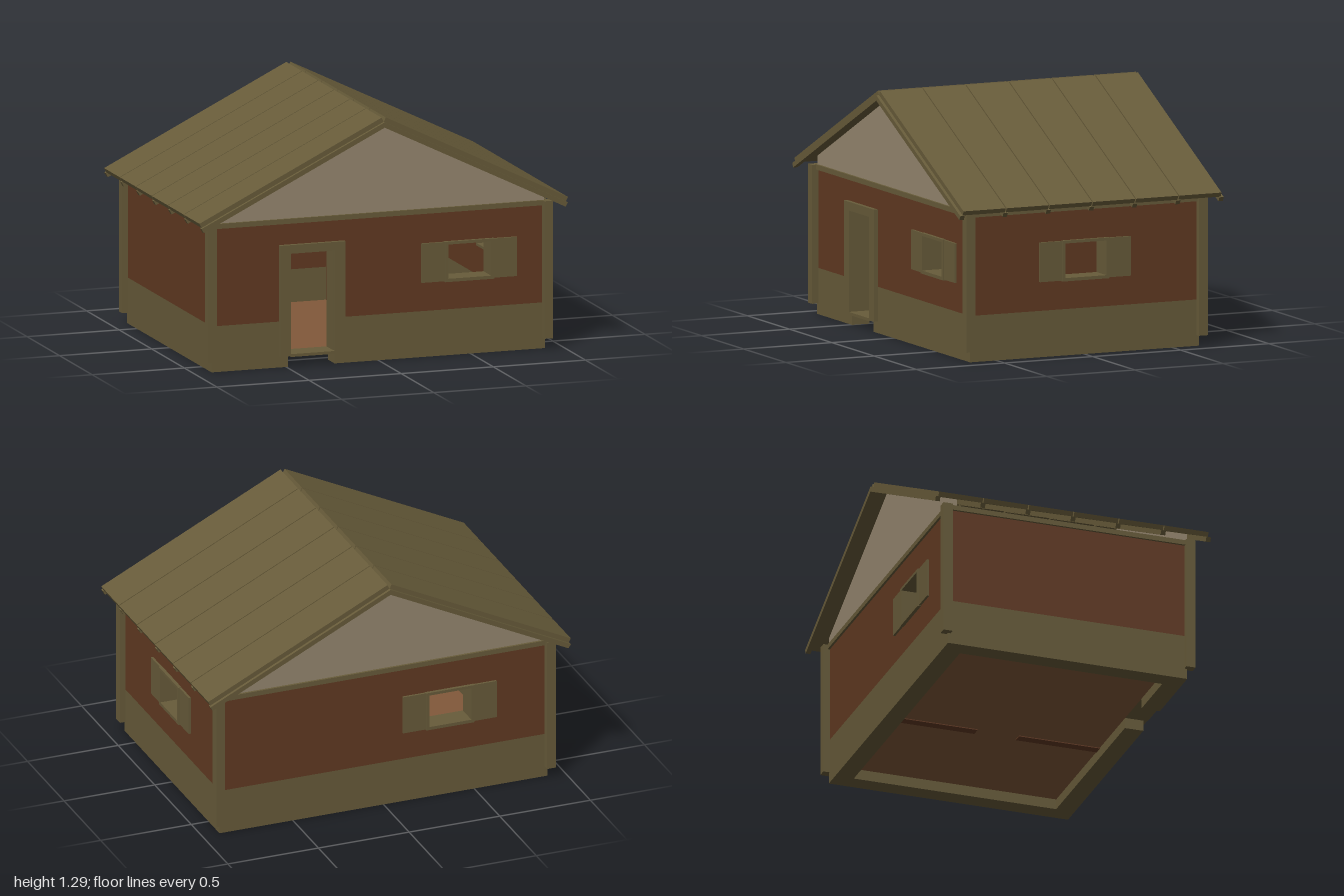
import * as THREE from 'three';

const mat = (name, color) => {
  const m = new THREE.MeshStandardMaterial({ color });
  m.name = name;
  return m;
};

export function createModel() {
  const timber = mat('olive timber', 0x685c3a);
  const red = mat('red brown wall', 0x623a22);
  const plaster = mat('taupe gable', 0x978870);
  const boards = mat('floor boards', 0x82593a);
  const house = new THREE.Group();
  house.name = 'house';

  const HX = 0.905, HZ = 0.65, T = 0.1, TOP = 0.77, BAND = 0.24;

  // Box given by its limits
  function box(parent, name, m, x0, x1, y0, y1, z0, z1) {
    const mesh = new THREE.Mesh(new THREE.BoxGeometry(x1 - x0, y1 - y0, z1 - z0), m);
    mesh.position.set((x0 + x1) / 2, (y0 + y1) / 2, (z0 + z1) / 2);
    mesh.name = name;
    parent.add(mesh);
  }

  // Profile in x and y, extruded along z
  function prism(parent, name, m, pts, z0, z1) {
    const shape = new THREE.Shape(pts.map(([x, y]) => new THREE.Vector2(x, y)));
    const geo = new THREE.ExtrudeGeometry(shape, { depth: z1 - z0, bevelEnabled: false });
    const mesh = new THREE.Mesh(geo, m);
    mesh.position.z = z0;
    mesh.name = name;
    parent.add(mesh);
  }

  // One horizontal colour band of a wall, left open where the openings are
  function band(parent, name, m, half, y0, y1, z0, z1, openings) {
    let x = -half;
    for (const o of [...openings].sort((a, b) => a.x0 - b.x0)) {
      box(parent, name, m, x, o.x0, y0, y1, z0, z1);
      const lo = Math.min(Math.max(o.y0, y0), y1), hi = Math.max(Math.min(o.y1, y1), y0);
      if (lo > y0) box(parent, name, m, o.x0, o.x1, y0, lo, z0, z1);
      if (hi < y1) box(parent, name, m, o.x0, o.x1, hi, y1, z0, z1);
      x = o.x1;
    }
    box(parent, name, m, x, half, y0, y1, z0, z1);
  }

  // Wall with its outer face on local z = 0
  function wall(name, half, trimHalf, openings, position, turn) {
    const g = new THREE.Group();
    g.name = name;
    band(g, 'wallBase', timber, half, 0, BAND, -T, 0, openings);
    band(g, 'wallUpper', red, half, BAND, TOP, -T, 0, openings);
    box(g, 'topTrim', timber, -trimHalf, trimHalf, 0.75, 0.776, 0, 0.012);
    g.position.set(...position);
    g.rotation.y = turn;
    house.add(g);
    return g;
  }

  // Window frame lining the opening, with a shutter on each side
  const windowHole = cx => ({ x0: cx - 0.125, x1: cx + 0.125, y0: 0.39, y1: 0.592 });
  function windowUnit(g, cx) {
    for (const s of [-1, 1]) {
      const a = cx + s * 0.116, b = cx + s * 0.133, c = cx + s * 0.258;
      box(g, 'windowJamb', timber, Math.min(a, b), Math.max(a, b), 0.386, 0.597, -T, 0.018);
      box(g, 'shutter', timber, Math.min(b, c), Math.max(b, c), 0.39, 0.595, 0, 0.012);
    }
    box(g, 'windowSill', timber, cx - 0.116, cx + 0.116, 0.386, 0.403, -T, 0.018);
    box(g, 'windowHead', timber, cx - 0.116, cx + 0.116, 0.582, 0.597, -T, 0.018);
  }

  // Four walls
  const doorHole = { x0: -0.49, x1: -0.238, y0: 0, y1: 0.6 };
  const front = wall('frontWall', HX, 0.89, [doorHole, windowHole(0.49)], [0, 0, HZ], 0);
  windowUnit(front, 0.49);
  const back = wall('backWall', HX, 0.89, [windowHole(0.362)], [0, 0, -HZ], Math.PI);
  windowUnit(back, 0.362);
  const right = wall('windowSideWall', HZ - T, 0.636, [windowHole(0)], [HX, 0, 0], Math.PI / 2);
  windowUnit(right, 0);
  wall('plainSideWall', HZ - T, 0.636, [], [-HX, 0, 0], -Math.PI / 2);

  // Door surround and threshold
  box(front, 'doorJamb', timber, -0.54, -0.482, 0.06, 0.595, 0, 0.022);
  box(front, 'doorJamb', timber, -0.243, -0.185, 0.06, 0.595, 0, 0.022);
  box(front, 'doorHead', timber, -0.54, -0.185, 0.595, 0.64, 0, 0.022);
  box(front, 'doorLining', timber, -0.49, -0.482, 0.06, 0.6, -T, 0);
  box(front, 'doorLining', timber, -0.246, -0.238, 0.06, 0.6, -T, 0);
  box(front, 'doorLining', timber, -0.482, -0.246, 0.59, 0.6, -T, 0);
  box(front, 'doorThreshold', timber, -0.482, -0.243, 0.055, 0.07, -T, 0.022);

  // Floor and inner partition with a doorway
  box(house, 'floor', boards, -HX + T, HX - T, 0.055, 0.068, -HZ + T, HZ - T);
  box(house, 'partition', red, 0.14, 0.19, 0.05, TOP, 0.11, HZ - T);
  box(house, 'partition', red, 0.14, 0.19, 0.05, TOP, -HZ + T, -0.115);
  box(house, 'partitionHead', red, 0.14, 0.19, 0.6, TOP, -0.115, 0.11);

  // Corner posts
  for (const sx of [-1, 1]) for (const sz of [-1, 1]) {
    const x = sx * 0.9125, z = sz * 0.66;
    box(house, 'cornerPost', timber, x - 0.0235, x + 0.0235, 0.056, 0.775, z - 0.025, z + 0.025);
  }

  // Roof height at x, measured d below the top surface
  const M = 0.491, N = Math.hypot(1, M);
  const roofY = (x, d) => 1.291 - M * x - d * N;

  // Gable infills
  const gable = [[-0.9, TOP], [0.9, TOP], [0.9, roofY(0.9, 0.027)], [0, roofY(0, 0.027)], [-0.9, roofY(0.9, 0.027)]];
  prism(house, 'frontGable', plaster, gable, HZ - 0.05, HZ);
  prism(house, 'backGable', plaster, gable, -HZ, -HZ + 0.05);

  // Roof panels and rafters on both slopes
  const D = 0.025, PITCH = 0.245, dx = D * M / N;
  for (const s of [-1, 1]) {
    const flip = pts => pts.map(([x, y]) => [s * x, y]);
    const panel = flip([
      [0.011, roofY(0.011, 0)], [1, roofY(1, 0)],
      [1 - dx, roofY(1 - dx, D)], [0.001, roofY(0.001, D)],
    ]);
    for (let i = -3; i < 3; i++) {
      prism(house, 'roofPanel', timber, panel, i * PITCH + 0.003, (i + 1) * PITCH - 0.003);
    }
    const rafter = flip([
      [0, roofY(0, D)], [0.994, roofY(0.994, D)],
      [0.982, roofY(0.982, 2 * D)], [0, roofY(0, 2 * D)],
    ]);
    for (let i = -3; i <= 3; i++) {
      prism(house, 'rafter', timber, rafter, i * PITCH - 0.0125, i * PITCH + 0.0125);
    }
  }
  return house;
}
